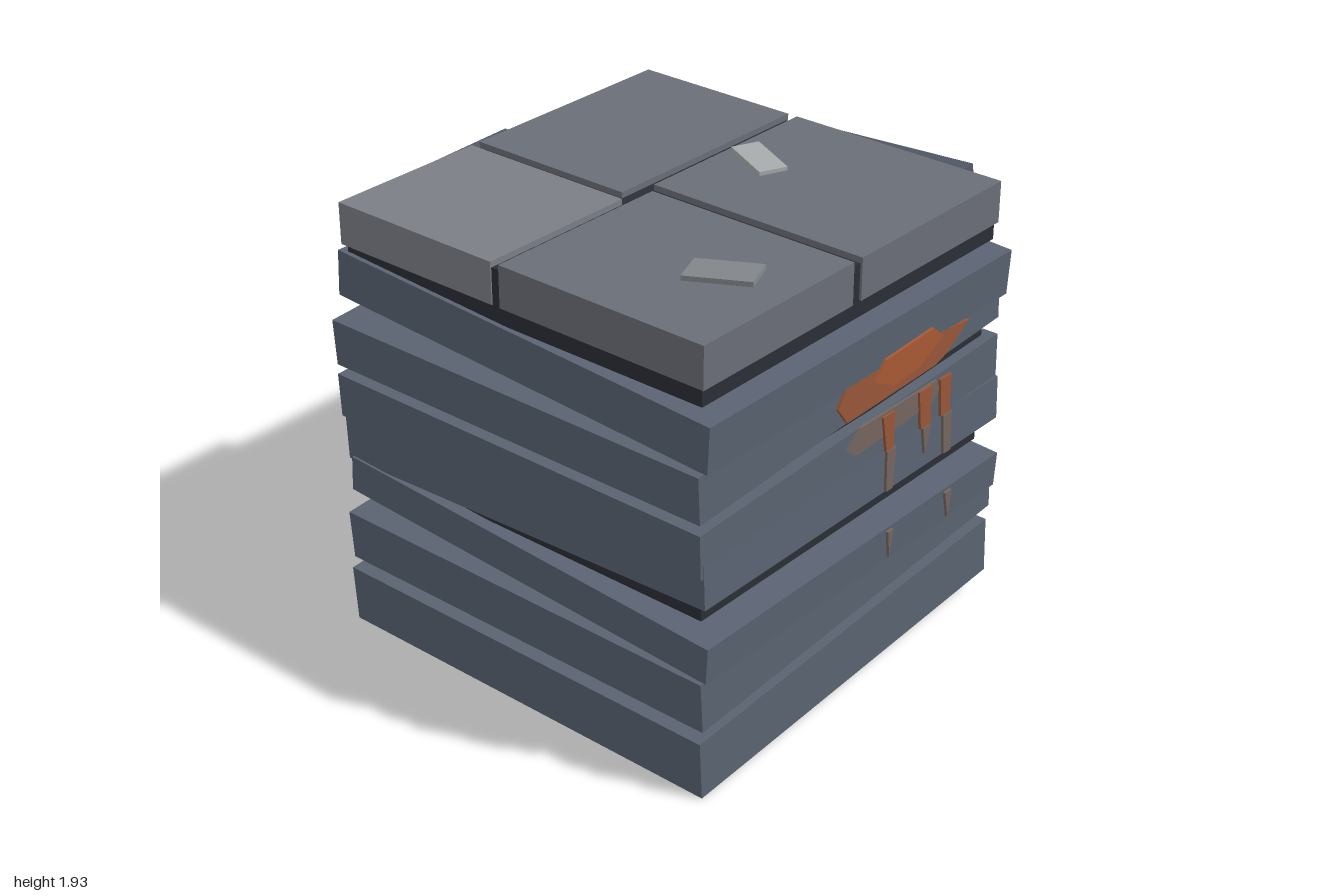
import * as THREE from 'three';

const mat = (color, side = THREE.FrontSide) =>
  new THREE.MeshStandardMaterial({ color, flatShading: true, side });

const M = {
  slab: mat(0x5a6372, THREE.DoubleSide),
  core: mat(0x2b2e35),
  cap: mat(0x6a6e77),
  capLight: mat(0x7b7f86),
  ledge: mat(0x515867),
  chip: mat(0x83878c),
  chipLight: mat(0xa9acad),
  rustBright: mat(0xa85a35),
  rust: mat(0x985639),
  rustDull: mat(0x75665f),
};

export function createModel() {
  const model = new THREE.Group();

  const box = (name, material, size, pos, rot = [0, 0, 0]) => {
    const mesh = new THREE.Mesh(new THREE.BoxGeometry(...size), material);
    mesh.name = name;
    mesh.position.set(...pos);
    mesh.rotation.set(...rot);
    model.add(mesh);
    return mesh;
  };

  // Box given by its limits on each axis
  const span = (name, material, [x0, x1], [y0, y1], [z0, z1]) =>
    box(name, material, [x1 - x0, y1 - y0, z1 - z0],
      [(x0 + x1) / 2, (y0 + y1) / 2, (z0 + z1) / 2]);

  // Stacked crooked slabs: centre, height, tilt about x, tilt about z
  const slabs = [
    [-0.06, 0.18, 0.03, 0.255, 0, 0.056],
    [-0.058, 0.47, 0.03, 0.22, 0, 0.064],
    [-0.045, 0.65, 0.045, 0.155, 0.057, 0],
    [-0.035, 0.89, 0.022, 0.19, -0.036, 0],
    [-0.055, 1.09, 0.018, 0.19, 0, 0.037],
    [-0.058, 1.34, 0.013, 0.2, 0, 0.055],
    [-0.032, 1.54, 0.035, 0.195, 0.055, 0],
  ];
  slabs.forEach(([x, y, z, h, rx, rz], i) => {
    const slab = box(`slab${i + 1}`, M.slab, [1.855, h, 1.855], [x, y, z], [rx, 0, rz]);
    if (i === 0) {
      // The lowest slab is hollow, open underneath
      const g = slab.geometry;
      const index = Array.from(g.index.array);
      index.splice(18, 6);
      g.setIndex(index);
      g.clearGroups();
    }
  });

  // Dark spacer plates between the slabs
  [0.335, 0.765, 1.215].forEach((y, i) =>
    box(`spacer${i + 1}`, M.core, [1.74, 0.05, 1.74], [-0.05, y, 0.03]));

  // Cap: dark bed with four paving plates
  span('capBed', M.core, [-0.94, 0.835], [1.64, 1.86], [-0.85, 0.915]);
  const capY = [1.71, 1.885];
  span('capPlateBackRight', M.capLight, [-0.945, -0.225], capY, [-0.88, -0.08]);
  span('capPlateBackLeft', M.cap, [-0.18, 0.85], capY, [-0.88, -0.12]);
  span('capPlateFrontRight', M.cap, [-0.945, -0.095], capY, [-0.04, 0.925]);
  span('capPlateFrontLeft', M.cap, [-0.045, 0.85], capY, [-0.075, 0.925]);

  // Broken bars sticking out of the cap
  box('sideBar', M.ledge, [0.14, 0.115, 0.79], [0.91, 1.77, 0.32], [-0.055, 0, 0.12]);
  box('backBar', M.ledge, [0.88, 0.095, 0.13], [-0.35, 1.765, -0.935], [0, 0, 0.025]);

  // Loose chips on top
  box('chipLeft', M.chipLight, [0.12, 0.016, 0.27], [0.365, 1.912, 0.115], [0, -0.47, 0.03]);
  box('chipRight', M.chip, [0.16, 0.02, 0.27], [-0.5, 1.907, 0.645], [-0.06, 0.385, 0]);

  // Rust: thin flat outlines in (u, y); depth is the distance of the outer face
  const rustFace = (name, angle, pieces) => {
    const face = new THREE.Group();
    face.name = name;
    face.rotation.y = angle;
    pieces.forEach(([part, material, depth, pts]) => {
      const shape = new THREE.Shape(pts.map(([u, y]) => new THREE.Vector2(u, y)));
      const geo = new THREE.ExtrudeGeometry(shape, { depth: 0.012, bevelEnabled: false });
      const mesh = new THREE.Mesh(geo, material);
      mesh.name = part;
      mesh.position.z = depth - 0.012;
      face.add(mesh);
    });
    model.add(face);
  };
  // Tapering drip: top edge u0..u1 at y1, bottom edge v0..v1 at y0
  const drip = (material, depth, u0, u1, y1, v0, v1, y0) =>
    ['rustDrip', material, depth, v0 === v1
      ? [[u0, y1], [v0, y0], [u1, y1]]
      : [[u0, y1], [v0, y0], [v1, y0], [u1, y1]]];

  rustFace('frontRust', 0, [
    ['rustPatch', M.rust, 0.957, [[-0.205, 1.33], [-0.155, 1.4], [0.41, 1.4],
      [0.635, 1.38], [0.5, 1.29], [0.42, 1.265], [-0.145, 1.25]]],
    ['rustCore', M.rustBright, 0.978, [[-0.005, 1.37], [0.06, 1.44], [0.365, 1.455],
      [0.43, 1.4], [0.29, 1.32], [0.11, 1.31]]],
    ['rustStain', M.rustDull, 0.956, [[-0.135, 1.12], [-0.055, 1.19], [0.44, 1.19],
      [0.46, 1.14], [0.41, 1.1], [-0.08, 1.08]]],
    drip(M.rust, 0.966, 0.075, 0.15, 1.18, 0.105, 0.15, 1.02),
    drip(M.rust, 0.966, 0.31, 0.39, 1.19, 0.33, 0.395, 1.02),
    drip(M.rust, 0.966, 0.45, 0.525, 1.19, 0.465, 0.525, 1.02),
    drip(M.rustDull, 0.97, 0.105, 0.165, 1.02, 0.11, 0.15, 0.84),
    drip(M.rustDull, 0.97, 0.34, 0.395, 1.02, 0.36, 0.36, 0.9),
    drip(M.rustDull, 0.97, 0.475, 0.535, 1.02, 0.495, 0.54, 0.84),
    drip(M.rustDull, 0.995, 0.1, 0.135, 0.67, 0.115, 0.115, 0.55),
    drip(M.rustDull, 0.995, 0.485, 0.53, 0.67, 0.51, 0.51, 0.55),
  ]);

  rustFace('sideRust', Math.PI / 2, [
    ['rustPatch', M.rust, 0.904, [[-0.49, 0.905], [-0.31, 0.99], [0.41, 0.965],
      [0.55, 0.875], [0.4, 0.79], [-0.355, 0.83]]],
    ['rustCore', M.rustBright, 0.912, [[-0.255, 0.905], [-0.195, 0.98], [0.17, 0.97],
      [0.165, 0.895], [0.07, 0.815], [-0.22, 0.83]]],
    ['rustStain', M.rustDull, 0.892, [[-0.28, 0.72], [0.19, 0.74], [0.245, 0.69],
      [0.185, 0.63], [-0.29, 0.6]]],
    drip(M.rust, 0.9, -0.375, -0.28, 0.71, -0.355, -0.29, 0.57),
    drip(M.rust, 0.9, 0.045, 0.1, 0.73, 0.055, 0.1, 0.605),
    drip(M.rustDull, 0.89, -0.335, -0.27, 0.57, -0.32, -0.275, 0.435),
    drip(M.rustDull, 0.89, 0.055, 0.1, 0.605, 0.055, 0.085, 0.435),
    drip(M.rustDull, 0.877, -0.31, -0.265, 0.35, -0.28, -0.28, 0.18),
    drip(M.rustDull, 0.877, 0.06, 0.105, 0.35, 0.088, 0.088, 0.18),
  ]);

  return model;
}
